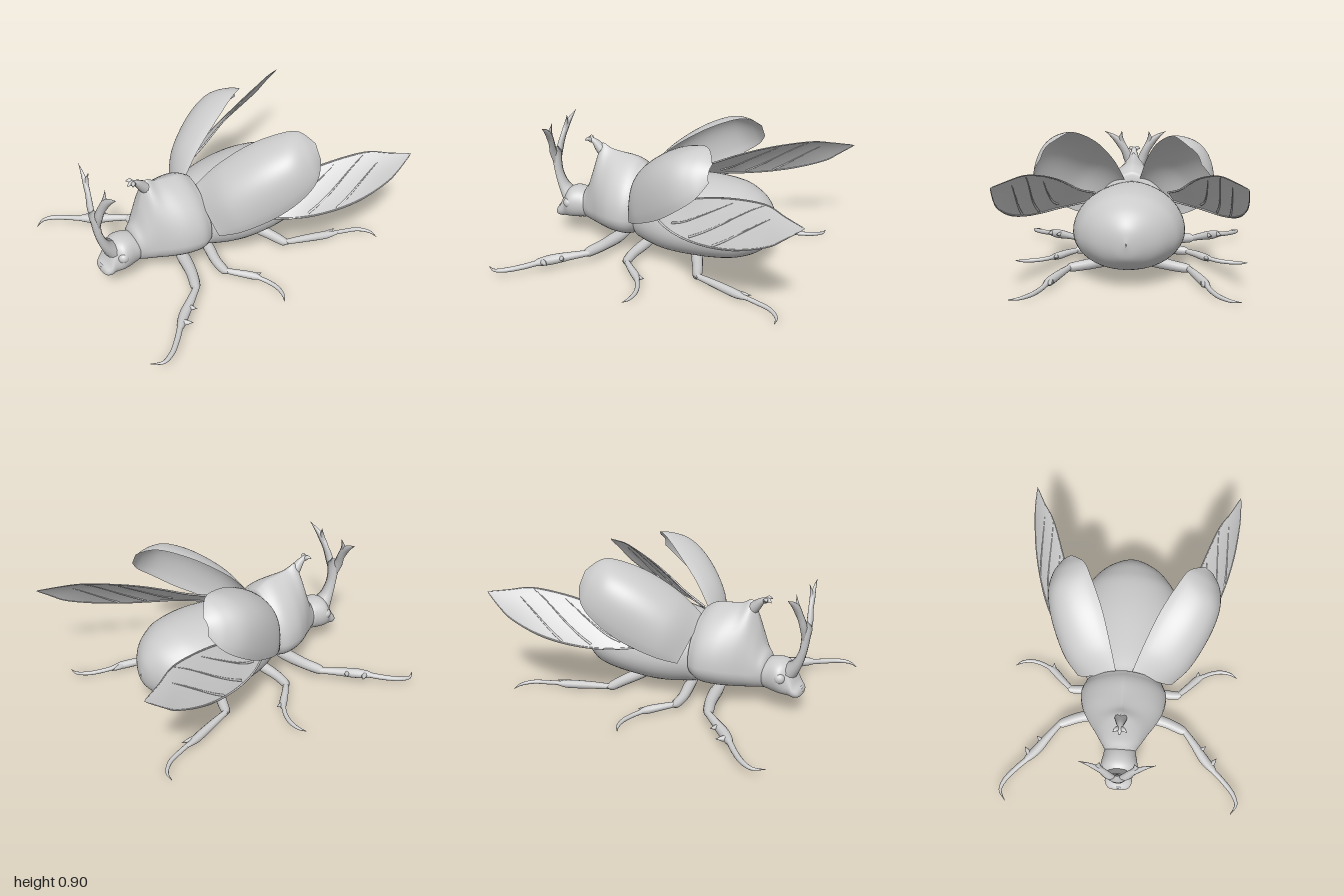
import * as THREE from 'three';
import { mergeVertices } from 'three/addons/utils/BufferGeometryUtils.js';
import { ParametricGeometry } from 'three/addons/geometries/ParametricGeometry.js';

const solid = new THREE.MeshStandardMaterial({ color: 0xcccccc });
const thin = new THREE.MeshStandardMaterial({ color: 0xcccccc, side: THREE.DoubleSide });

// Smooth interpolation through rows of numbers, t from 0 to 1
function blend(rows, t) {
  const n = rows.length - 1;
  const i = Math.min(Math.floor(t * n), n - 1), f = t * n - i;
  const [a, b, c, d] = [-1, 0, 1, 2].map((k) => rows[Math.min(Math.max(i + k, 0), n)]);
  return b.map((_, k) => b[k] + 0.5 * f * (c[k] - a[k]
    + f * (2 * a[k] - 5 * b[k] + 4 * c[k] - d[k] + f * (3 * (b[k] - c[k]) + d[k] - a[k]))));
}

function surface(name, fn, nu, nv, material) {
  let g = new ParametricGeometry(fn, nu, nv);
  g.deleteAttribute('uv');
  g.deleteAttribute('normal');
  g = mergeVertices(g, 1e-5);
  g.computeVertexNormals();
  const mesh = new THREE.Mesh(g, material);
  mesh.name = name;
  return mesh;
}

// Body lofted along z; rows are [z, halfWidth, bottom, top, widestY, topPinch, bottomPinch]
function loft(name, rows) {
  return surface(name, (u, v, target) => {
    const [z, w, bottom, top, mid, pinchTop, pinchBottom] = blend(rows, v);
    const c = Math.cos(u * Math.PI * 2), s = Math.sin(u * Math.PI * 2);
    const x = w * Math.sign(c) * Math.abs(c) ** (s > 0 ? pinchTop : pinchBottom);
    target.set(x, mid + s * (s > 0 ? top - mid : mid - bottom), z);
  }, 48, 44, solid);
}

// Tube with a varying radius; points are [x, y, z, radius], flat squeezes it in z
function limb(name, points, side = 1, flat = 1) {
  const curve = new THREE.CatmullRomCurve3(points.map(([x, y, z]) => new THREE.Vector3(x * side, y, z)));
  const n = points.length * 6, m = 12;
  const g = new THREE.TubeGeometry(curve, n, 1, m);
  const p = g.attributes.position, v = new THREE.Vector3();
  for (let i = 0; i <= n; i++) {
    const c = curve.getPointAt(i / n);
    const r = Math.max(0.001, blend(points, curve.getUtoTmapping(i / n))[3]);
    for (let j = 0; j <= m; j++) {
      const k = i * (m + 1) + j;
      v.fromBufferAttribute(p, k).sub(c).multiplyScalar(r);
      v.z *= flat;
      v.add(c);
      p.setXYZ(k, v.x, v.y, v.z);
    }
  }
  const mesh = new THREE.Mesh(g, solid);
  mesh.name = name;
  return mesh;
}

// Sheet between two edges; rows are [upper xyz, lower xyz, bulge]
function sheetPoint(rows, dir, side, u, v, target) {
  const r = blend(rows, v);
  const b = r[6] * Math.sin(Math.PI * u) ** 0.8;
  const [x, y, z] = [0, 1, 2].map((k) => r[k] + (r[k + 3] - r[k]) * u + dir[k] * b);
  return target.set(x * side, y, z);
}

const WING_CASE = [
  [0.05, 0.54, 0.215, 0.31, 0.30, 0.215, 0.05],
  [0.11, 0.68, 0.09, 0.42, 0.36, 0.11, 0.115],
  [0.20, 0.81, -0.09, 0.525, 0.46, -0.07, 0.15],
  [0.30, 0.885, -0.25, 0.58, 0.57, -0.22, 0.135],
  [0.365, 0.895, -0.34, 0.575, 0.66, -0.33, 0.08],
  [0.46, 0.84, -0.395, 0.52, 0.75, -0.395, 0.015],
];
const HIND_WING = [
  [0.24, 0.47, 0.08, 0.28, 0.41, 0.08, 0],
  [0.33, 0.53, -0.15, 0.48, 0.39, -0.12, 0.005],
  [0.39, 0.60, -0.32, 0.59, 0.39, -0.34, 0.015],
  [0.465, 0.66, -0.53, 0.67, 0.43, -0.58, 0.015],
  [0.55, 0.695, -0.74, 0.705, 0.51, -0.80, 0.015],
  [0.63, 0.68, -0.87, 0.71, 0.58, -0.90, 0.005],
  [0.70, 0.66, -1.0, 0.70, 0.66, -1.0, 0],
];
const CASE_DIR = [0.52, 0.6, 0.61], WING_DIR = [0.7, 0.65, 0.2];
// Wing veins from [u, v] to [u, v]: both edges and three slanting folds
const VEINS = [[0.02, 0, 0.02, 0.97], [0.98, 0, 0.98, 0.97], [0.75, 0.18, 0.1, 0.5], [0.9, 0.3, 0.05, 0.66], [0.95, 0.42, 0.35, 0.7]];

const LEGS = {
  front: {
    femur: [[0.01, 0.08, 0.36, 0.02], [0.14, 0.09, 0.38, 0.04], [0.3, 0.09, 0.42, 0.036], [0.41, 0.085, 0.465, 0.03], [0.44, 0.08, 0.475, 0.002]],
    tibia: [[0.41, 0.085, 0.455, 0.02], [0.485, 0.08, 0.55, 0.026], [0.555, 0.07, 0.645, 0.032], [0.615, 0.065, 0.71, 0.024], [0.64, 0.06, 0.735, 0.008]],
    tarsus: [[0.59, 0.065, 0.69, 0.018], [0.69, 0.055, 0.785, 0.017], [0.755, 0.05, 0.865, 0.015], [0.776, 0.045, 0.93, 0.01], [0.74, 0.04, 0.995, 0.002]],
    spurs: [[0.52, 0.08, 0.6, 0.568, 0.56], [0.6, 0.07, 0.69, 0.64, 0.635]],
  },
  middle: {
    femur: [[0.01, 0.075, 0.16, 0.02], [0.13, 0.075, 0.18, 0.035], [0.27, 0.06, 0.21, 0.032], [0.37, 0.05, 0.21, 0.026], [0.395, 0.05, 0.205, 0.002]],
    tibia: [[0.36, 0.05, 0.215, 0.017], [0.43, 0.045, 0.15, 0.022], [0.5, 0.035, 0.08, 0.024], [0.55, 0.03, 0.045, 0.008]],
    tarsus: [[0.5, 0.035, 0.08, 0.014], [0.58, 0.025, 0.035, 0.014], [0.66, 0.02, 0.015, 0.013], [0.73, 0.015, 0.025, 0.009], [0.77, 0.01, 0.05, 0.002]],
    spurs: [[0.5, 0.035, 0.085, 0.503, 0.025]],
  },
  hind: {
    femur: [[0.01, 0.075, -0.14, 0.02], [0.13, 0.075, -0.18, 0.036], [0.27, 0.06, -0.24, 0.034], [0.37, 0.05, -0.275, 0.027], [0.395, 0.05, -0.285, 0.002]],
    tibia: [[0.37, 0.05, -0.27, 0.018], [0.41, 0.045, -0.4, 0.024], [0.46, 0.035, -0.56, 0.026], [0.485, 0.03, -0.64, 0.008]],
    tarsus: [[0.46, 0.035, -0.57, 0.014], [0.49, 0.025, -0.69, 0.014], [0.53, 0.02, -0.79, 0.013], [0.59, 0.012, -0.845, 0.009], [0.65, 0.006, -0.85, 0.002]],
    spurs: [[0.455, 0.035, -0.56, 0.44, -0.65]],
  },
};

function leg(name, { femur, tibia, tarsus, spurs }, side) {
  const group = new THREE.Group();
  group.name = name;
  group.add(limb('femur', femur, side), limb('tibia', tibia, side), limb('tarsus', tarsus, side));
  for (const [x, y, z, tipX, tipZ] of spurs) {
    group.add(limb('spur', [[x, y, z, 0.022], [(x + tipX) / 2, y, (z + tipZ) / 2, 0.014], [tipX, y, tipZ, 0.001]], side));
  }
  return group;
}

export function createModel() {
  const beetle = new THREE.Group();
  beetle.name = 'beetle';

  // Abdomen, thorax and head
  beetle.add(loft('abdomen', [
    [-0.66, 0.003, 0.27, 0.29, 0.28, 1, 0.9], [-0.64, 0.085, 0.19, 0.38, 0.28, 1, 0.9],
    [-0.58, 0.19, 0.13, 0.46, 0.28, 1, 0.9], [-0.5, 0.265, 0.095, 0.51, 0.28, 1, 0.9],
    [-0.4, 0.32, 0.08, 0.545, 0.28, 1, 0.85], [-0.22, 0.35, 0.07, 0.56, 0.28, 1, 0.85],
    [0, 0.33, 0.065, 0.55, 0.28, 1, 0.85], [0.18, 0.26, 0.085, 0.53, 0.28, 1, 0.9],
    [0.24, 0.2, 0.12, 0.5, 0.28, 1, 0.9], [0.26, 0.003, 0.27, 0.29, 0.28, 1, 0.9],
  ]));
  beetle.add(loft('thorax', [
    [0.21, 0.003, 0.29, 0.31, 0.3, 1.2, 0.9], [0.218, 0.22, 0.17, 0.55, 0.29, 1.3, 0.9],
    [0.25, 0.262, 0.13, 0.60, 0.28, 1.4, 0.9], [0.31, 0.28, 0.115, 0.632, 0.28, 1.5, 0.9],
    [0.4, 0.264, 0.11, 0.645, 0.28, 1.55, 1], [0.48, 0.222, 0.115, 0.66, 0.27, 1.7, 1],
    [0.545, 0.175, 0.12, 0.685, 0.26, 1.9, 1], [0.59, 0.145, 0.125, 0.56, 0.25, 1.6, 1],
    [0.63, 0.118, 0.13, 0.42, 0.25, 1.2, 1], [0.67, 0.085, 0.145, 0.35, 0.25, 1, 1],
    [0.685, 0.003, 0.24, 0.26, 0.25, 1, 1],
  ]));
  beetle.add(loft('head', [
    [0.62, 0.003, 0.23, 0.25, 0.24, 1, 1], [0.65, 0.09, 0.15, 0.32, 0.24, 1, 0.9],
    [0.7, 0.108, 0.135, 0.345, 0.24, 0.9, 0.8], [0.77, 0.118, 0.13, 0.345, 0.24, 0.9, 0.7],
    [0.82, 0.09, 0.125, 0.31, 0.2, 0.9, 0.7], [0.86, 0.085, 0.122, 0.22, 0.17, 0.9, 0.7],
    [0.89, 0.06, 0.13, 0.185, 0.155, 0.9, 0.8], [0.9, 0.003, 0.15, 0.16, 0.155, 1, 1],
  ]));
  beetle.add(limb('mouth', [[-0.05, 0.178, 0.875, 0.002], [0, 0.182, 0.888, 0.009], [0.05, 0.178, 0.875, 0.002]]));

  // Head horn stem and small thorax horn
  beetle.add(limb('headHorn', [[0, 0.25, 0.79, 0.085], [0, 0.33, 0.85, 0.055], [0, 0.42, 0.883, 0.043],
    [0, 0.51, 0.895, 0.046], [0, 0.57, 0.897, 0.055], [0, 0.615, 0.892, 0.01]], 1, 0.5));
  beetle.add(limb('thoraxHorn', [[0, 0.6, 0.51, 0.045], [0, 0.655, 0.565, 0.034], [0, 0.692, 0.605, 0.02],
    [0, 0.703, 0.64, 0.015], [0, 0.69, 0.665, 0.004]]));

  for (const side of [1, -1]) {
    const label = side > 0 ? 'left' : 'right';

    // Forked horn tips
    beetle.add(limb(label + 'HornBranch', [[0.015, 0.52, 0.895, 0.033], [0.05, 0.6, 0.895, 0.036], [0.08, 0.67, 0.885, 0.03],
      [0.115, 0.725, 0.877, 0.03], [0.165, 0.773, 0.868, 0.018], [0.225, 0.812, 0.86, 0.002]], side, 0.45));
    beetle.add(limb(label + 'HornTine', [[0.09, 0.69, 0.882, 0.026], [0.108, 0.75, 0.873, 0.02], [0.1, 0.812, 0.86, 0.002]], side, 0.45));
    beetle.add(limb(label + 'ThoraxHornTip', [[0, 0.692, 0.622, 0.015], [0.024, 0.71, 0.637, 0.013], [0.042, 0.702, 0.652, 0.002]], side));

    // Eyes
    const eye = new THREE.Mesh(new THREE.SphereGeometry(0.036, 20, 14), solid);
    eye.name = label + 'Eye';
    eye.position.set(side * 0.088, 0.252, 0.775);
    beetle.add(eye);

    // Raised wing case, the right one opened less
    const wingCase = surface(label + 'WingCase', (u, v, t) => {
      sheetPoint(WING_CASE, CASE_DIR, side, u, v, t);
      if (side < 0) {
        const a = -0.14, x = t.x + 0.13, z = t.z - 0.2;
        t.set(-0.13 + x * Math.cos(a) + z * Math.sin(a), t.y - 0.025 * v, 0.2 - x * Math.sin(a) + z * Math.cos(a));
      }
    }, 24, 36, thin);
    beetle.add(wingCase);

    // Hind wing with veins
    const wing = new THREE.Group();
    wing.name = label + 'HindWing';
    wing.add(surface('membrane', (u, v, t) => sheetPoint(HIND_WING, WING_DIR, side, u, v, t), 24, 36, thin));
    for (const [u0, v0, u1, v1] of VEINS) {
      const vein = [];
      for (let k = 0; k <= 7; k++) {
        const f = k / 7;
        const p = sheetPoint(HIND_WING, WING_DIR, 1, u0 + (u1 - u0) * f, v0 + (v1 - v0) * f, new THREE.Vector3());
        vein.push([p.x, p.y, p.z, 0.007 - f * 0.005]);
      }
      wing.add(limb('vein', vein, side));
    }
    if (side < 0) {
      wing.rotation.y = -0.04;
      wing.position.z = 0.028;
    }
    beetle.add(wing);

    // Legs
    for (const [name, spec] of Object.entries(LEGS)) beetle.add(leg(`${label}${name[0].toUpperCase()}${name.slice(1)}Leg`, spec, side));
  }
  return beetle;
}
